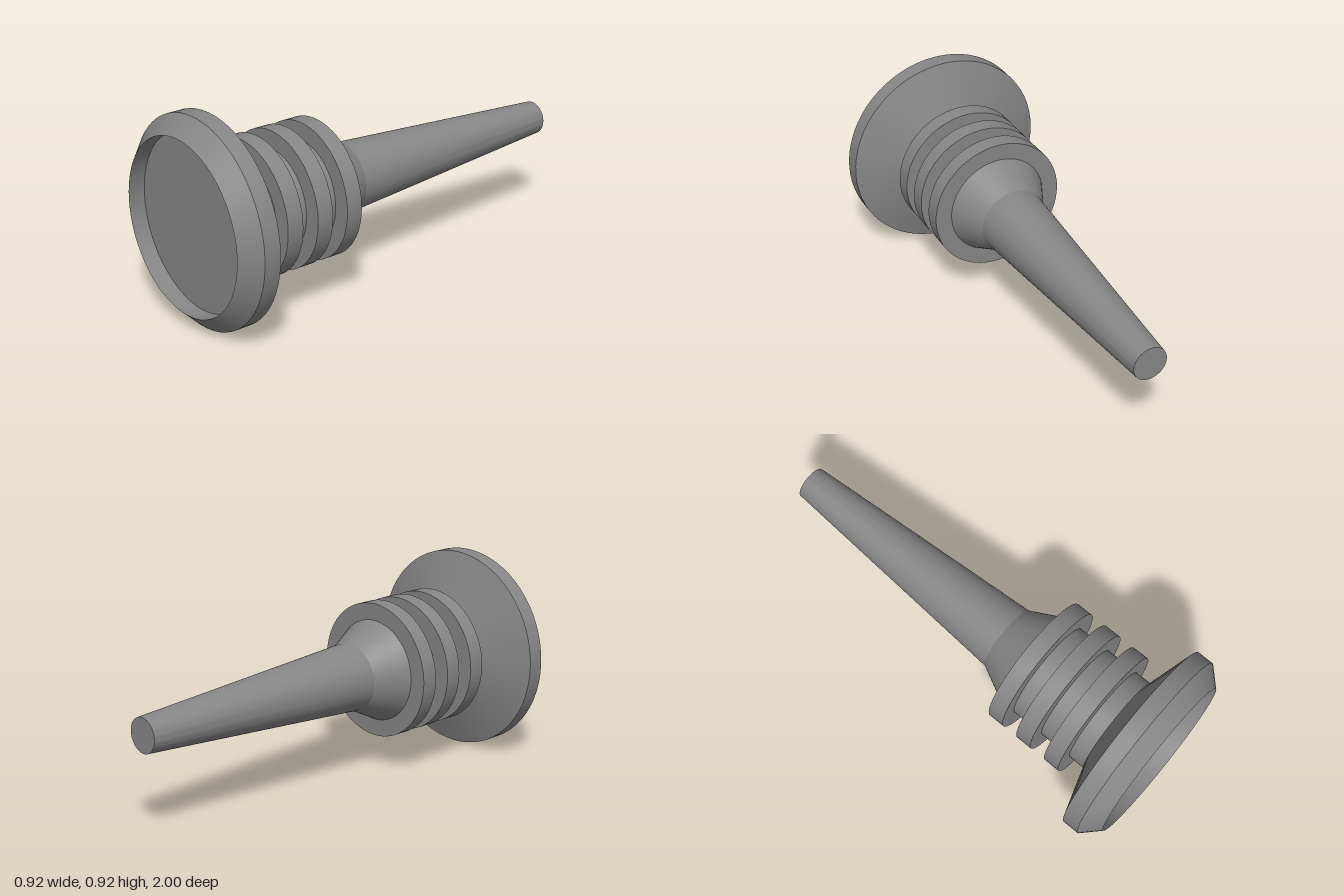
import * as THREE from 'three';
import { toCreasedNormals } from 'three/addons/utils/BufferGeometryUtils.js';

const U = 1 / 13; // design module: the model is 26 modules long
const SEGMENTS = 64;

// Turned part: profile of [radius, z] in modules, listed from back to front
function turned(name, profile, material) {
  const points = profile.map(([r, z]) => new THREE.Vector2(r * U, z * U));
  const lathe = new THREE.LatheGeometry(points, SEGMENTS);
  lathe.rotateX(Math.PI / 2); // spin axis along z
  const mesh = new THREE.Mesh(toCreasedNormals(lathe, 0.3), material);
  mesh.name = name;
  mesh.position.y = 6 * U;
  return mesh;
}

export function createModel() {
  const group = new THREE.Group();
  group.name = 'turnedPlug';
  const darkGrey = new THREE.MeshStandardMaterial({ color: 0x868686 });

  // Tapered stem with closed tip, flaring into the shoulder
  group.add(turned('stem', [[0, -13], [1, -13], [2, 2]], darkGrey));
  group.add(turned('shoulder', [[2, 2], [3, 4]], darkGrey));

  // Straight barrel with three raised collars
  group.add(turned('barrel', [[3, 4], [3, 10]], darkGrey));
  for (let i = 0; i < 3; i++) {
    const z = 4 + 2 * i;
    group.add(turned(`collar${i + 1}`, [[3, z], [4, z], [4, z + 1], [3, z + 1]], darkGrey));
  }

  // Flared head with chamfered rim and recessed front face
  group.add(turned('head', [[3, 10], [6, 11], [6, 12], [5, 13], [5, 12], [0, 12]], darkGrey));
  return group;
}
